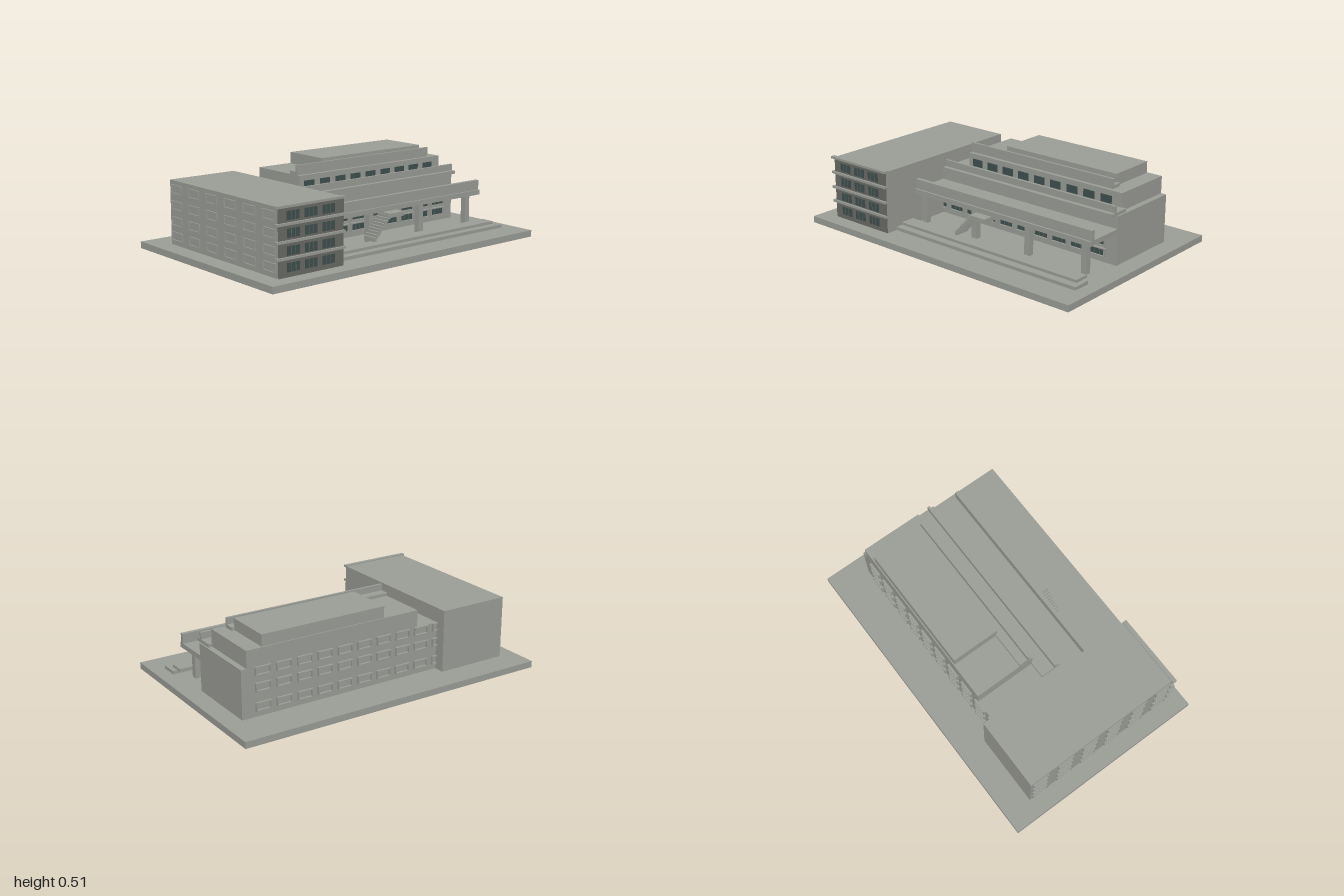
import * as THREE from 'three';

export function createModel() {
  const root = new THREE.Group();
  root.name = 'officeComplex';
  const mat = (name, color) => {
    const m = new THREE.MeshStandardMaterial({ color });
    m.name = name;
    return m;
  };
  const concrete = mat('concrete', 0x9c9e98);
  const darkWall = mat('dark wall', 0x6b6c66);
  const glass = mat('window glass', 0x3f504f);

  // box given by its limits on each axis
  const box = (name, x0, x1, y0, y1, z0, z1, m = concrete, parent = root) => {
    const mesh = new THREE.Mesh(new THREE.BoxGeometry(x1 - x0, y1 - y0, z1 - z0), m);
    mesh.position.set((x0 + x1) / 2, (y0 + y1) / 2, (z0 + z1) / 2);
    mesh.name = name;
    parent.add(mesh);
    return mesh;
  };

  // framed window facing +z, its back at the group's origin
  const framedWindow = (name, w, h, depth, pane) => {
    const g = new THREE.Group();
    g.name = name;
    const t = 0.007, a = w / 2, b = h / 2;
    const s = new THREE.Shape([[-a, -b], [a, -b], [a, b], [-a, b]].map(p => new THREE.Vector2(...p)));
    const c = a - t, d = b - t;
    s.holes.push(new THREE.Path([[-c, -d], [-c, d], [c, d], [c, -d]].map(p => new THREE.Vector2(...p))));
    const frame = new THREE.Mesh(new THREE.ExtrudeGeometry(s, { depth, bevelEnabled: false }), concrete);
    frame.name = 'windowFrame';
    g.add(frame);
    if (pane) {
      box('windowPane', -c, c, -d, d, 0, 0.004, glass, g);
      for (const k of [-1, 1]) box('mullion', k * c / 3 - 0.001, k * c / 3 + 0.001, -d, d, 0.003, 0.006, darkWall, g);
    }
    root.add(g);
    return g;
  };

  // ground slab
  box('baseSlab', -1, 1, 0, 0.04, -0.65, 0.65);

  // tall side wing with a darker front
  box('wingBody', -0.89, -0.44, 0.04, 0.425, -0.48, 0.55);
  box('wingFront', -0.888, -0.442, 0.04, 0.422, 0.55, 0.554, darkWall);
  const floors = [0.145, 0.235, 0.33, 0.425];
  floors.forEach(y => {
    box('wingLedge', -0.905, -0.437, y - 0.008, y + 0.006, 0.54, 0.566);
    const cy = y - 0.052;
    for (let i = 0; i < 3; i++) {
      const x = -0.79 + i * 0.12;
      box('wingWindow', x - 0.042, x + 0.042, cy - 0.025, cy + 0.025, 0.553, 0.557, glass);
      for (const k of [-0.014, 0.014])
        box('mullion', x + k - 0.001, x + k + 0.001, cy - 0.025, cy + 0.025, 0.556, 0.559, darkWall);
    }
    for (let i = 0; i < 6; i++) {
      const w = framedWindow('wingSideWindow', 0.11, 0.055, 0.008, false);
      w.position.set(-0.89, cy, -0.41 + i * 0.178);
      w.rotation.y = -Math.PI / 2;
    }
  });

  // stepped main block
  box('mainBlock', -0.44, 0.885, 0.04, 0.335, -0.412, 0.065);
  box('upperBlock', -0.295, 0.85, 0.335, 0.44, -0.412, -0.018);
  box('penthouse', -0.06, 0.75, 0.44, 0.51, -0.405, -0.1);

  // projecting roof slabs, each with an upright fin
  const roofEdges = [
    ['canopy', -0.44, 0.885, 0.23, 0.26, 0.065, 0.315, 0.32, 0.278, 0.303],
    ['middleEave', -0.4, 0.875, 0.335, 0.355, -0.025, 0.108, 0.395, 0.065, 0.08],
    ['upperEave', -0.295, 0.77, 0.44, 0.46, -0.11, -0.042, 0.5, -0.055, -0.04],
  ];
  for (const [name, x0, x1, y0, y1, z0, z1, top, f0, f1] of roofEdges) {
    box(name, x0, x1, y0, y1, z0, z1);
    box(name + 'Fin', x0, x1, y1, top, f0, f1);
  }

  // canopy columns
  for (let i = 0; i < 4; i++) {
    const x = -0.4 + i * 0.405;
    box('column', x - 0.018, x + 0.018, 0.04, 0.23, 0.24, 0.277);
  }

  // framed windows, front and back
  for (let i = -1; i < 9; i++) {
    const x = -0.32 + i * 0.134;
    for (const y of [0.1, 0.165]) {
      framedWindow('frontWindow', 0.116, 0.053, 0.015, true).position.set(x, y, 0.065);
    }
    for (const y of [0.1, 0.215, 0.31]) {
      const w = framedWindow('backWindow', 0.098, 0.052, 0.014, false);
      w.position.set(x, y, -0.412);
      w.rotation.y = Math.PI;
    }
  }

  // clerestory windows of the upper block
  for (let i = 0; i < 9; i++) {
    const x = -0.225 + i * 0.121;
    box('clerestoryWindow', x - 0.038, x + 0.038, 0.362, 0.408, -0.019, -0.014, glass);
  }

  // low terrace steps
  box('lowerTerraceStep', -0.44, 0.915, 0.04, 0.06, 0.37, 0.48);
  box('upperTerraceStep', -0.44, 0.885, 0.06, 0.077, 0.34, 0.432);

  // open stair and its landing
  const steps = 9;
  for (let i = 0; i < steps; i++) {
    const x = -0.055 + i * 0.0135, y = 0.077 + i * 0.0148;
    box('stairTread', x, x + 0.0145, y, y + 0.025, 0.28, 0.375);
  }
  box('stairLanding', 0.06, 0.178, 0.203, 0.229, 0.28, 0.375);

  return root;
}
